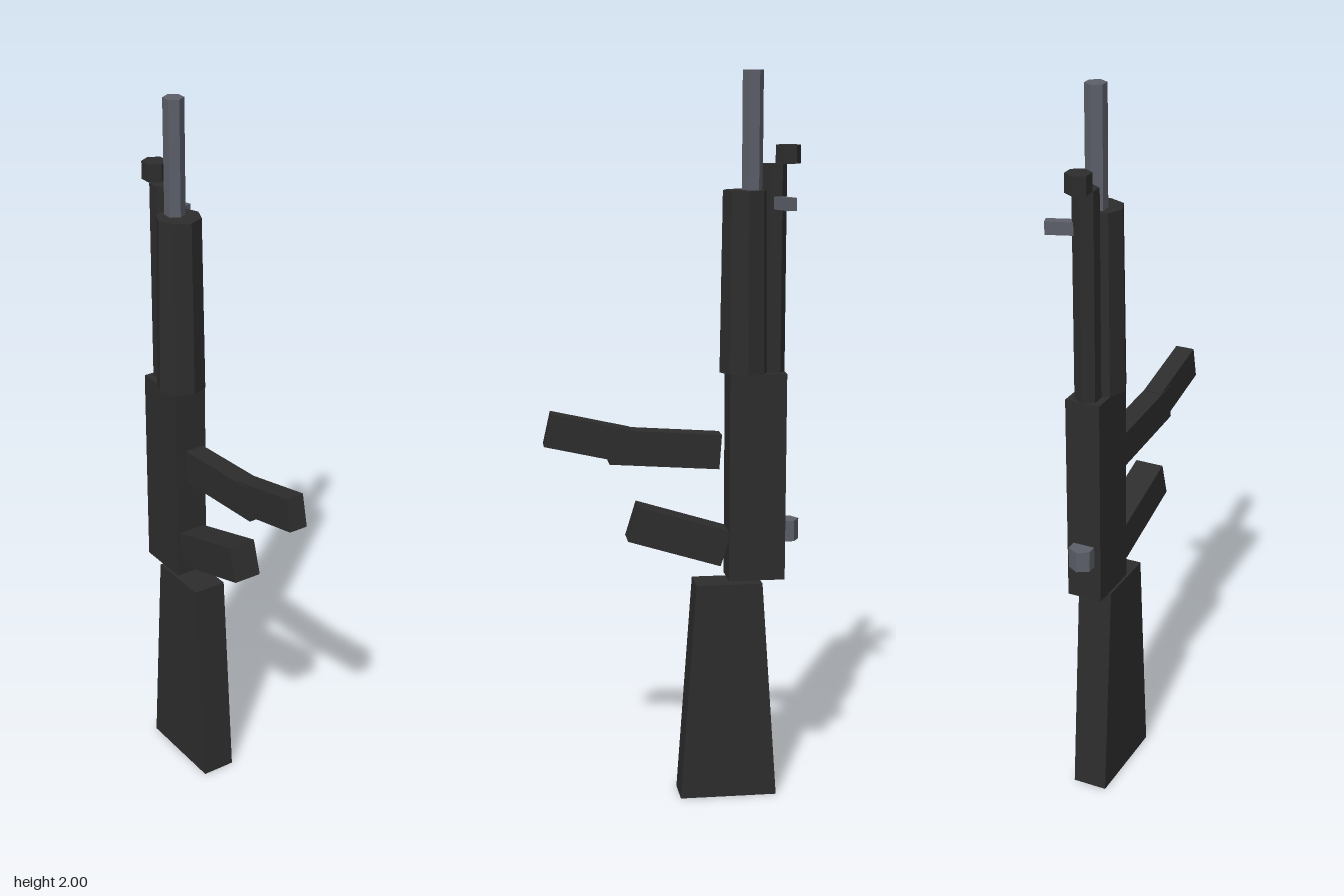
import * as THREE from 'three';

export function createModel() {
  const model = new THREE.Group();
  const blackMetal = new THREE.MeshStandardMaterial({ color: 0x2d2d2d });
  const greySteel = new THREE.MeshStandardMaterial({ color: 0x5c5f69 });
  blackMetal.name = 'blackMetal';
  greySteel.name = 'greySteel';
  const midX = -0.017; // the long axis of the body

  function add(name, geometry, material, x, y, z) {
    const mesh = new THREE.Mesh(geometry, material);
    mesh.name = name;
    mesh.position.set(x, y, z);
    model.add(mesh);
    return mesh;
  }

  // Upright faceted tube from y0 to y1, with a corner pointing to +z
  function tube(name, material, rTop, rBottom, sides, y0, y1, z) {
    const geometry = new THREE.CylinderGeometry(rTop, rBottom, y1 - y0, sides).toNonIndexed();
    geometry.computeVertexNormals();
    return add(name, geometry, material, midX, (y0 + y1) / 2, z);
  }

  // Bar pointing forward, raised by an angle in degrees
  function bar(name, width, height, length, y, z, raise) {
    const mesh = add(name, new THREE.BoxGeometry(width, height, length), blackMetal, midX, y, z);
    mesh.rotation.x = -THREE.MathUtils.degToRad(raise);
  }

  // Stock: a box whose top end is narrowed in depth
  const stock = new THREE.BoxGeometry(0.096, 0.617, 1);
  const p = stock.attributes.position;
  for (let i = 0; i < p.count; i++) {
    const top = p.getY(i) > 0;
    const front = p.getZ(i) > 0;
    p.setZ(i, top ? (front ? -0.058 : -0.241) : (front ? -0.015 : -0.285));
  }
  stock.computeVertexNormals();
  add('stock', stock, blackMetal, midX, 0.3085, 0);

  // Body
  add('receiver', new THREE.BoxGeometry(0.096, 0.573, 0.155), blackMetal, midX, 0.9135, -0.225);
  tube('handguard', blackMetal, 0.061, 0.0675, 8, 1.2, 1.688, -0.193);
  tube('barrel', greySteel, 0.028, 0.028, 6, 1.5, 2, -0.211);
  tube('gasTube', blackMetal, 0.034, 0.034, 6, 1.2, 1.757, -0.27);
  tube('frontSight', blackMetal, 0.034, 0.034, 6, 1.757, 1.806, -0.307);
  tube('rearKnob', greySteel, 0.035, 0.035, 6, 0.73, 0.788, -0.313);

  // Grip and two-part curved magazine
  bar('grip', 0.08, 0.1, 0.266, 0.755, -0.013, 17);
  bar('magazineUpper', 0.057, 0.095, 0.3, 0.996, 0.024, 4);
  bar('magazineLower', 0.053, 0.091, 0.22, 1.032, 0.235, 12.7);

  // Side handle
  const handle = add('handle', new THREE.BoxGeometry(0.1, 0.034, 0.026), greySteel, 0.031, 1.655, -0.285);
  handle.rotation.y = THREE.MathUtils.degToRad(20);

  return model;
}
